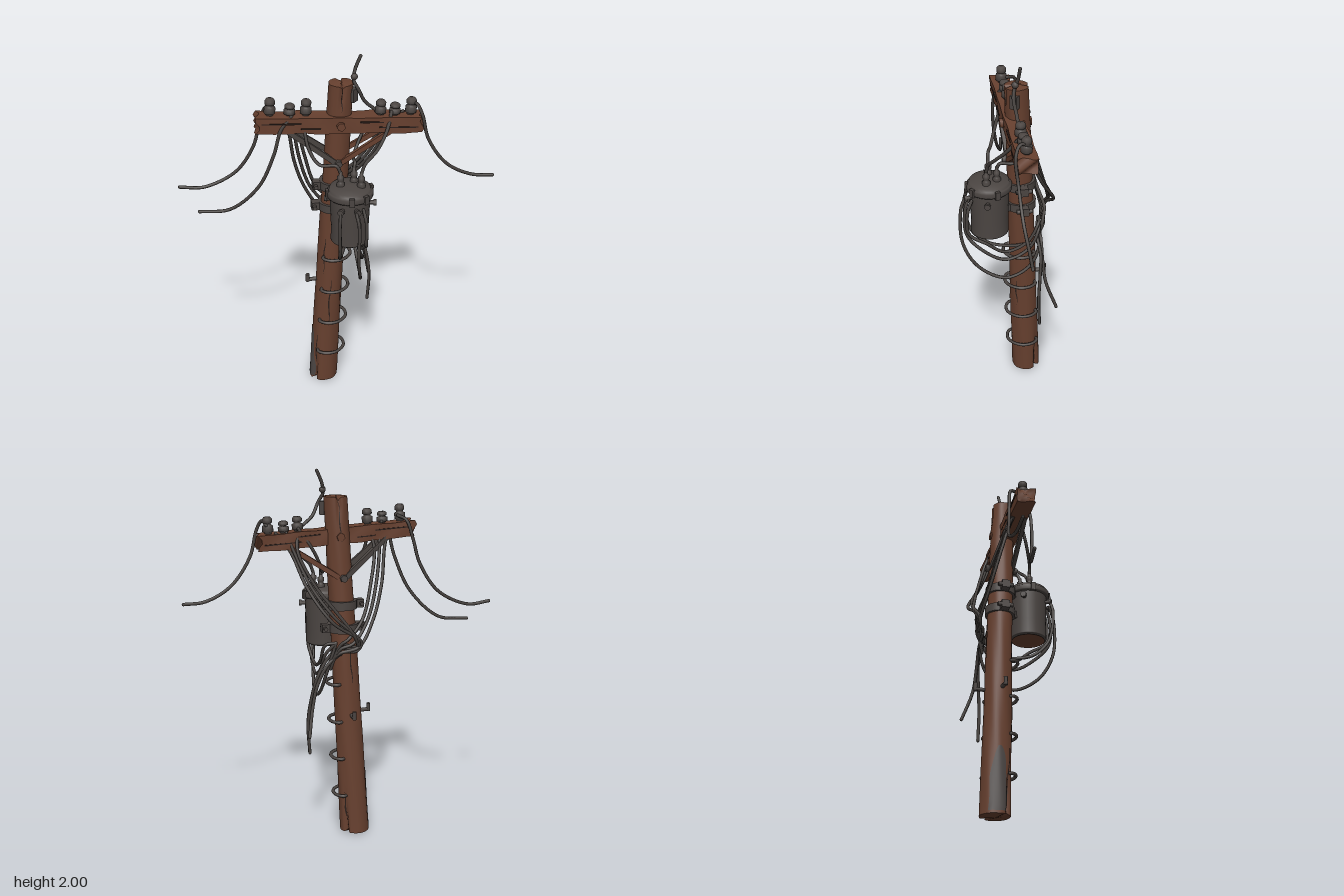
import * as THREE from 'three';

const V = (x, y, z) => new THREE.Vector3(x, y, z);
const mat = (name, color, side = THREE.FrontSide) => {
  const m = new THREE.MeshStandardMaterial({ color, side });
  m.name = name;
  return m;
};

export function createModel() {
  const wood = mat('weathered wood', 0x67402f);
  const iron = mat('dark iron', 0x4b4542);
  const cable = mat('cable', 0x45403d);
  const crackMat = mat('crack', 0x2c201c, THREE.DoubleSide);
  const stain = mat('stain', 0x4c4644, THREE.DoubleSide);

  const root = new THREE.Group();
  root.name = 'utilityPole';
  const add = (name, geo, m, parent = root) => {
    const mesh = new THREE.Mesh(geo, m);
    mesh.name = name;
    parent.add(mesh);
    return mesh;
  };
  // Box or cylinder stretched from a to b
  const UP = V(0, 1, 0);
  const rod = (name, a, b, r, m = iron, sides = 8) => {
    const mesh = add(name, new THREE.CylinderGeometry(r, r, a.distanceTo(b), sides), m);
    mesh.position.copy(a).lerp(b, 0.5);
    mesh.quaternion.setFromUnitVectors(UP, b.clone().sub(a).normalize());
    return mesh;
  };
  const beam = (name, a, b, w, d, m) => {
    const mesh = add(name, new THREE.BoxGeometry(w, d, a.distanceTo(b)), m);
    mesh.position.copy(a).lerp(b, 0.5);
    mesh.lookAt(b);
    return mesh;
  };
  const wire = (name, pts, r = 0.009, m = cable) => {
    const curve = new THREE.CatmullRomCurve3(pts.map(p => V(...p)));
    add(name, new THREE.TubeGeometry(curve, pts.length * 8, r, 7), m);
    // Rounded tips close the tube
    for (const t of [0, 1]) {
      add(name + 'Tip', new THREE.SphereGeometry(r, 7, 5), m).position.copy(curve.getPoint(t));
    }
  };

  // ---- Leaning pole with split top and foot ----
  const H = 1.87;
  const axis = y => V(-0.087 + 0.114 * y / H, y, 0.015 - 0.011 * y / H);
  const bump = (a, c, w) => {
    const d = Math.atan2(Math.sin(a - c), Math.cos(a - c)) / w;
    return Math.exp(-d * d);
  };
  const fade = (y, y0, y1) => THREE.MathUtils.smoothstep(y, y0, y1);
  const split = (a, y) =>
    0.32 * (bump(a, 0.75, 0.16) + bump(a, 0.75 + Math.PI, 0.16)) * fade(y, 1.7, 1.86) +
    0.28 * (bump(a, -0.1, 0.14) + bump(a, 3.0, 0.14)) * (1 - fade(y, 0.02, 0.3));
  const poleR = (a, y) => (0.079 - 0.017 * y / H) *
    (1 - split(a, y) + 0.025 * Math.sin(a * 5 + y * 3) * Math.sin(y * 7 + a * 2));
  const onPole = (a, y, out = 0) => {
    const r = poleR(a, y) + out;
    return axis(y).add(V(Math.sin(a) * r, 0, Math.cos(a) * r));
  };
  const poleGeo = new THREE.CylinderGeometry(1, 1, H, 48, 40);
  const pp = poleGeo.attributes.position;
  for (let i = 0; i < pp.count; i++) {
    const x = pp.getX(i), z = pp.getZ(i), y = pp.getY(i) + H / 2;
    const a = Math.atan2(x, z), k = Math.hypot(x, z);
    const p = axis(y).lerp(onPole(a, y), k);
    const chip = split(a, y) * k * 0.06;
    p.y += y > H - 0.001 ? -chip - 0.008 * k : y < 0.001 ? chip + 0.006 * k : 0;
    pp.setXYZ(i, p.x, p.y, p.z);
  }
  poleGeo.computeVertexNormals();
  add('pole', poleGeo, wood);

  // Thin skins that hug the pole: cracks and the stained foot
  const skin = (name, a, width, y0, y1, m, taper) => {
    const g = new THREE.PlaneGeometry(1, 1, 10, 14), p = g.attributes.position;
    for (let i = 0; i < p.count; i++) {
      const t = p.getY(i) + 0.5, s = p.getX(i);
      const q = onPole(a + s * width * taper(t) + 0.05 * Math.sin(t * 9), y0 + (y1 - y0) * t, 0.003);
      p.setXYZ(i, q.x, q.y, q.z);
    }
    g.computeVertexNormals();
    add(name, g, m);
  };
  const sliver = t => Math.sin(Math.PI * t) + 0.03;
  [[0.75, 1.72, 1.85], [3.89, 1.6, 1.85], [-0.1, 0.02, 0.36], [0.7, 0.4, 0.72], [0.1, 0.75, 1.0],
    [1.6, 0.5, 0.68], [-2.2, 0.85, 1.1], [3, 0.02, 0.25]]
    .forEach(([a, y0, y1]) => skin('poleCrack', a, 0.1, y0, y1, crackMat, sliver));
  skin('footStain', -0.85, 1.3, 0.02, 0.36, stain, t => Math.sqrt(1 - t * t * 0.97));

  // ---- Crossarm ----
  const arm = new THREE.Group();
  arm.name = 'crossarm';
  arm.position.set(0.03, 1.655, 0.024);
  arm.rotation.set(0, 0.733, -0.06);
  root.add(arm);
  arm.updateMatrix();
  const onArm = (u, y, v) => V(u, y, v).applyMatrix4(arm.matrix);
  const ag = new THREE.BoxGeometry(0.84, 0.084, 0.1, 20, 4, 4), ap = ag.attributes.position;
  for (let i = 0; i < ap.count; i++) {
    const x = ap.getX(i), y = ap.getY(i), z = ap.getZ(i);
    const w = 1 + 0.04 * Math.sin(x * 31 + y * 40) + 0.03 * Math.sin(x * 17 + z * 50);
    const ragged = Math.abs(x) > 0.419 ? 0.014 * Math.sin(y * 70 + z * 55 + x) : 0;
    ap.setXYZ(i, x + ragged, y * w, z * w);
  }
  ag.computeVertexNormals();
  add('crossarmBeam', ag, wood, arm);
  for (const [u, y, len] of [[-0.3, 0.012, 0.2], [0.3, -0.01, 0.2], [0.16, 0.018, 0.12], [-0.15, -0.015, 0.1]]) {
    for (const s of [1, -1]) {
      add('crossarmCrack', new THREE.BoxGeometry(len, 0.006, 0.008), crackMat, arm).position.set(u, y, s * 0.05);
    }
  }

  // Insulators
  for (const [u, h] of [[-0.356, 0.092], [-0.256, 0.062], [-0.174, 0.085], [0.208, 0.08], [0.283, 0.062], [0.366, 0.092]]) {
    const profile = [[0.019, -0.05], [0.019, 0.1], [0.029, 0.15], [0.029, 0.48], [0.019, 0.53], [0.018, 0.62],
      [0.026, 0.66], [0.026, 0.86], [0.018, 0.98], [0, 1]];
    const g = new THREE.LatheGeometry(profile.map(([r, t]) => new THREE.Vector2(r, t * h)), 14);
    add('insulator', g, iron, arm).position.set(u, 0.04, 0);
  }

  // Paired flat braces below the arm
  const n = V(0.669, 0, 0.743);
  for (const s of [1, -1]) {
    for (const e of [1, -1]) {
      const foot = axis(1.43).addScaledVector(n, s * 0.06);
      beam('brace', onArm(e * 0.27, -0.03, s * 0.035), foot, 0.022, 0.026, e > 0 ? wood : iron);
    }
    const b = axis(1.44);
    rod('braceBolt', b, b.clone().addScaledVector(n, s * 0.09), 0.02, iron, 6);
    const c = onArm(0, 0, 0);
    rod('armBolt', c, c.clone().addScaledVector(n, s * (s > 0 ? 0.07 : 0.095)), 0.023, wood, 6);
  }
  add('topBracket', new THREE.BoxGeometry(0.03, 0.07, 0.04), iron).position.set(0.085, 1.8, -0.02);

  // ---- Transformer ----
  const tank = new THREE.Group();
  tank.name = 'transformer';
  tank.position.set(0.145, 1.04, 0.1);
  root.add(tank);
  const lathe = pts => new THREE.LatheGeometry(pts.map(p => new THREE.Vector2(...p)), 28);
  add('tankBody', lathe([[0.09, 0], [0.1, 0.008], [0.1, 0.012], [0.099, 0.1], [0.103, 0.2], [0.103, 0.27]]), iron, tank);
  add('tankBase', lathe([[0, 0.012], [0.08, 0.012], [0.09, 0]]), wood, tank);
  add('tankLid', lathe([[0.1, 0.262], [0.117, 0.264], [0.12, 0.27], [0.12, 0.29], [0.115, 0.296], [0.108, 0.298],
    [0.104, 0.312], [0.06, 0.322], [0, 0.325]]), iron, tank);
  for (const [x, z] of [[-0.005, -0.045], [-0.038, 0.03], [0.055, -0.02]]) {
    add('bushing', lathe([[0.021, 0.3], [0.021, 0.335], [0.014, 0.34], [0.014, 0.35], [0.018, 0.355], [0.018, 0.372],
      [0.01, 0.378], [0.008, 0.4], [0, 0.402]]), iron, tank).position.set(x, 0, z);
  }
  // Side terminals and lid clamps
  for (const a of [0.2, 0.88, 2.08, -1.3]) {
    const d = V(Math.sin(a), 0, Math.cos(a)), c = tank.position.clone().setY(1.265);
    rod('terminal', c.clone().addScaledVector(d, 0.09), c.clone().addScaledVector(d, 0.128), 0.011);
    rod('terminalCap', c.clone().addScaledVector(d, 0.122), c.clone().addScaledVector(d, 0.136), 0.017);
    const k = add('lidClamp', new THREE.BoxGeometry(0.026, 0.045, 0.016), iron, tank);
    k.position.set(Math.sin(a + 0.45) * 0.119, 0.28, Math.cos(a + 0.45) * 0.119);
    k.rotation.y = a + 0.45;
  }

  // Pole clamps holding the tank
  for (const y of [1.29, 1.165]) {
    const c = axis(y), t = tank.position.clone().setY(y);
    add('clampBand', new THREE.CylinderGeometry(0.082, 0.082, 0.046, 24), iron).position.copy(c);
    beam('clampArm', c, t, 0.06, 0.04, iron);
    for (const s of [1, -1]) {
      const d = V(-0.72 * s, 0, 0.69 * s);
      beam('clampLug', c.clone().addScaledVector(d, 0.07), c.clone().addScaledVector(d, 0.12), 0.045, 0.044, iron);
      const p = c.clone().addScaledVector(d, 0.105);
      rod('clampBolt', p.clone().addScaledVector(n, -0.042), p.clone().addScaledVector(n, 0.042), 0.012, iron, 6);
    }
  }

  // ---- Climbing rungs and pegs ----
  for (const y of [0.225, 0.44, 0.65, 0.86]) {
    const c = axis(y);
    const at = (x, z) => [c.x + x, y, c.z + z];
    wire('rung', [at(0.0, 0.06), at(0.01, 0.088), at(0.05, 0.088), at(0.092, 0.055), at(0.106, 0.02), at(0.106, -0.02),
      at(0.092, -0.055), at(0.05, -0.088), at(0.01, -0.088), at(0, -0.06)], 0.009, iron);
  }
  for (const s of [1, -1]) {
    const c = axis(0.69), d = V(-0.68, 0, 0.73 * s);
    const tip = c.clone().addScaledVector(d, 0.122);
    rod('peg', c, tip, 0.011);
    rod('pegHook', tip.clone().add(V(0, -0.01, 0)), tip.clone().add(V(0, 0.035, 0)), 0.011);
  }

  // ---- Line wires ----
  wire('lineWire', [[-0.235, 1.75, 0.225], [-0.29, 1.73, 0.215], [-0.325, 1.63, 0.225], [-0.36, 1.5, 0.24],
    [-0.45, 1.35, 0.285], [-0.58, 1.27, 0.39], [-0.675, 1.28, 0.475]]);
  wire('lineWire', [[-0.17, 1.72, 0.16], [-0.135, 1.71, 0.21], [-0.16, 1.66, 0.26], [-0.19, 1.52, 0.29],
    [-0.27, 1.33, 0.325], [-0.415, 1.185, 0.39], [-0.55, 1.17, 0.475]]);
  wire('lineWire', [[0.3, 1.72, -0.245], [0.345, 1.74, -0.215], [0.38, 1.69, -0.21], [0.405, 1.55, -0.24],
    [0.48, 1.4, -0.315], [0.58, 1.325, -0.41], [0.67, 1.315, -0.48]]);
  wire('topWire', [[0.1, 1.995, -0.062], [0.083, 1.93, -0.04], [0.085, 1.88, -0.022], [0.11, 1.83, -0.03],
    [0.13, 1.76, -0.06], [0.165, 1.715, -0.095]]);
  add('wireKnot', new THREE.SphereGeometry(0.018, 10, 8), iron).position.set(0.087, 1.895, -0.025);

  // Leads from the bushings to the arm
  wire('bushingLead', [[0.2, 1.43, 0.08], [0.21, 1.48, 0.06], [0.242, 1.54, -0.0], [0.25, 1.62, -0.08], [0.24, 1.7, -0.14]]);
  wire('bushingLead', [[0.107, 1.43, 0.13], [0.09, 1.47, 0.14], [0.01, 1.47, 0.175], [-0.05, 1.55, 0.185], [-0.095, 1.7, 0.165]]);
  wire('bushingLead', [[0.14, 1.43, 0.055], [0.135, 1.46, 0.04], [0.09, 1.46, -0.02], [0.1, 1.58, -0.1], [0.17, 1.7, -0.14]]);

  // Loops slung from the tank to the back of the pole
  for (const [dx, low, z] of [[0, 0.77, 0.19], [-0.01, 0.89, 0.17], [0.012, 0.94, 0.14]]) {
    const m = (1.2 + low) / 2;
    wire('slackLoop', [[0.24 + dx, 1.265, z], [0.265 + dx, 1.2, z + 0.01], [0.262 + dx, m, z + 0.005],
      [0.225, low + 0.07, z - 0.07], [0.15, low, 0], [0.07, low + 0.05, -0.09], [0.02, low + 0.15, -0.125], [-0.03, 1.1, -0.1]]);
  }
  wire('slackLoop', [[0.17, 1.265, 0.225], [0.175, 1.2, 0.24], [0.16, 1.02, 0.215], [0.11, 0.93, 0.14], [0.06, 0.92, 0.02], [0.02, 0.95, -0.08]]);

  // Bundle hanging from the arm behind the pole
  for (let i = 0; i < 3; i++) {
    const k = i * 0.022;
    wire('leftDrop', [[-0.2 + i * 0.05, 1.7, 0.2 - i * 0.045], [-0.19 + k, 1.6, 0.16 - k], [-0.2 + k, 1.4, 0.1 - k],
      [-0.185 + k, 1.22, 0.03 - k], [-0.14 + k, 1.08 + k, -0.05 - k], [-0.06, 1.05 + k, -0.11], [0, 1.0 - k, -0.11]]);
    wire('rightDrop', [[0.17 + i * 0.045, 1.68, -0.15 - i * 0.035], [0.15 + k, 1.58, -0.18], [0.05 + k, 1.4, -0.165 - k / 2],
      [-0.05, 1.27 - k, -0.13 - k], [-0.13 - k / 2, 1.15 - k, -0.09 + k], [-0.13, 1.08 - k / 2, -0.05], [-0.07, 1.1 - k, -0.1]]);
  }
  wire('looseEnd', [[-0.05, 1.08, -0.08], [0.01, 1.02, -0.11], [0.05, 0.92, -0.16], [0.08, 0.8, -0.175], [0.1, 0.66, -0.18], [0.09, 0.49, -0.18]]);
  wire('looseEnd', [[-0.05, 1.04, -0.08], [0, 0.99, -0.13], [0.045, 0.88, -0.17], [0.06, 0.76, -0.2], [0.048, 0.61, -0.26]]);

  return root;
}
